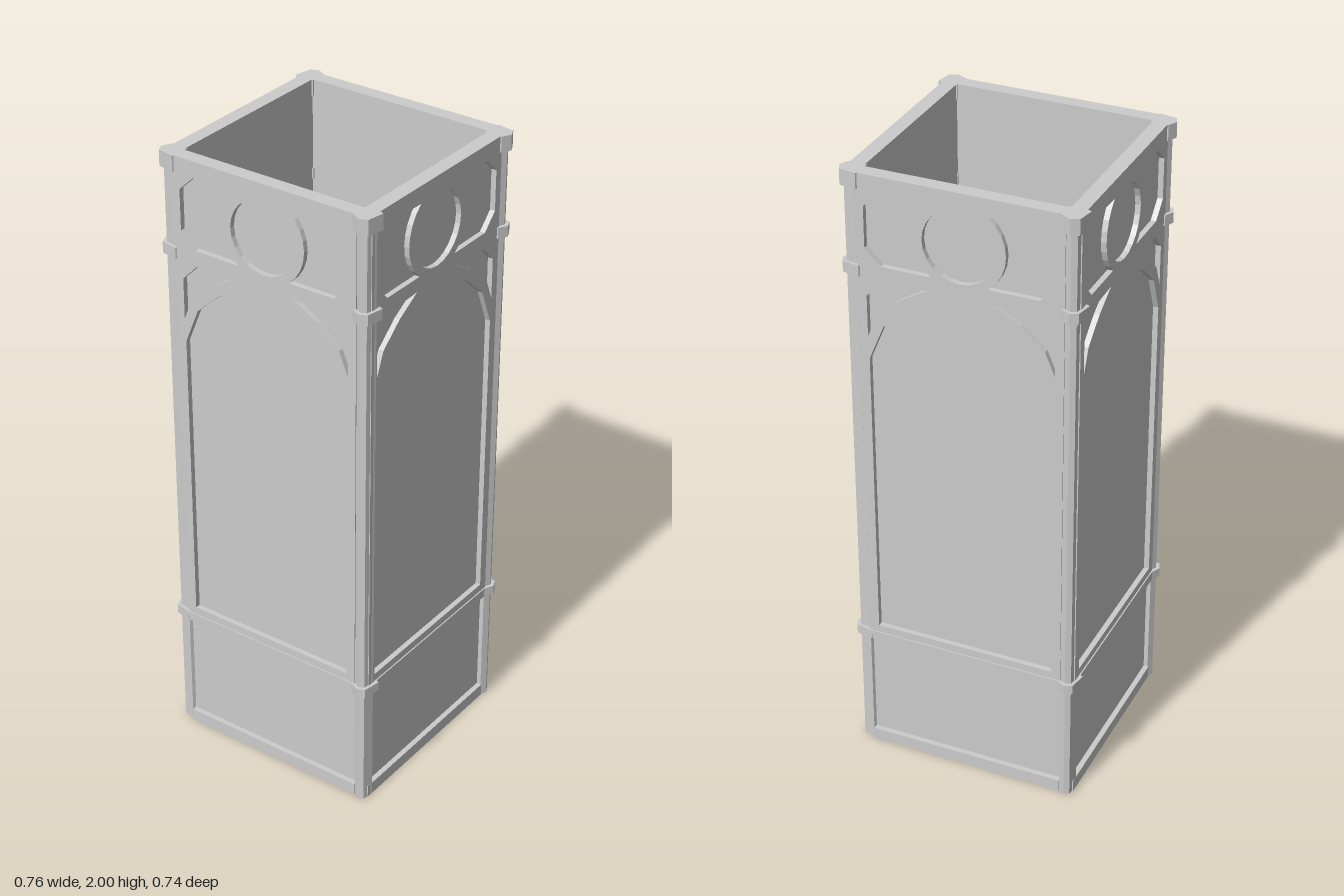
import * as THREE from 'three';

const material = new THREE.MeshStandardMaterial({ color: 0xcccccc, flatShading: true });

function part(name, geometry, x = 0, y = 0, z = 0) {
  const mesh = new THREE.Mesh(geometry, material);
  mesh.name = name;
  mesh.position.set(x, y, z);
  return mesh;
}

const points = (list) => list.map(([x, y]) => new THREE.Vector2(x, y));
const mirrored = (list) => list.map(([x, y]) => [-x, y]).reverse();

// Wall planes and tracery levels, measured for one side facing +z
const INNER = 0.305, RECESS = 0.335, OUTER = 0.352, HALF = 0.32;
const LEDGE_LOW = 0.4, LEDGE_TOP = 0.43;
const CIRCLE_Y = 1.832, CIRCLE_R = 0.115, RING_R = 0.143;

// Raised frame with the arched panel, spandrels and round window cut out
function frameGeometry() {
  const shape = new THREE.Shape(points([[-HALF, LEDGE_TOP], [HALF, LEDGE_TOP], [HALF, 2], [-HALF, 2]]));
  const cut = (list) => shape.holes.push(new THREE.Path(points(list)));

  const archLeft = [[-0.29, 0.455], [-0.29, 1.41], [-0.243, 1.525], [-0.16, 1.6], [-0.085, 1.643]];
  cut([...archLeft, [0, 1.66], ...mirrored(archLeft)]);

  const spandrel = [[-0.293, 1.485], [-0.293, 1.616], [-0.24, 1.67], [-0.1, 1.675], [-0.185, 1.625], [-0.262, 1.56]];
  cut(spandrel);
  cut(mirrored(spandrel));

  // Chamfered panel beside the ring, ending in the ring's outer arc
  const panel = [[-0.245, 1.72], [-0.295, 1.77], [-0.295, 1.9], [-0.245, 1.948]];
  for (let i = 0; i <= 8; i++) {
    const a = THREE.MathUtils.degToRad(-52 + 13 * i);
    panel.push([-RING_R * Math.cos(a), CIRCLE_Y - RING_R * Math.sin(a)]);
  }
  cut(panel);
  cut(mirrored(panel));

  const circle = [];
  for (let i = 0; i < 24; i++) {
    const a = (i / 24) * Math.PI * 2;
    circle.push([CIRCLE_R * Math.cos(a), CIRCLE_Y + CIRCLE_R * Math.sin(a)]);
  }
  cut(circle);
  return new THREE.ExtrudeGeometry(shape, { depth: OUTER - RECESS, bevelEnabled: false });
}

// Skewed corner outline in plan (x, z), scaled about its own centre
const CORNER = [[0.31, 0.3], [0.36, 0.298], [0.375, 0.305], [0.365, 0.36], [0.34, 0.371], [0.31, 0.356]];
function cornerPrism(scale, height) {
  const plan = CORNER.map(([x, z]) => [0.338 + (x - 0.338) * scale, -(0.335 + (z - 0.335) * scale)]);
  const geometry = new THREE.ExtrudeGeometry(new THREE.Shape(points(plan)), { depth: height, bevelEnabled: false });
  return geometry.rotateX(-Math.PI / 2);
}

function createSide() {
  const side = new THREE.Group();
  const wall = new THREE.BoxGeometry(HALF * 2, 2, RECESS - INNER);
  side.add(part('wall', wall, 0, 1, (RECESS + INNER) / 2));
  side.add(part('traceryFrame', frameGeometry(), 0, 0, RECESS));

  // Sill at the foot and ledge above the plinth panel
  const sill = new THREE.BoxGeometry(HALF * 2, 0.04, OUTER - RECESS);
  side.add(part('baseSill', sill, 0, 0.02, (OUTER + RECESS) / 2));
  const ledge = new THREE.BoxGeometry(HALF * 2, LEDGE_TOP - LEDGE_LOW, 0.021);
  side.add(part('ledge', ledge, 0, (LEDGE_TOP + LEDGE_LOW) / 2, RECESS + 0.0105));

  // Corner shaft with its three collars
  side.add(part('cornerShaft', cornerPrism(0.66, 1.99)));
  for (const [low, high] of [[LEDGE_LOW, LEDGE_TOP], [1.675, 1.71], [1.95, 2]]) {
    side.add(part('cornerCollar', cornerPrism(1, high - low), 0, low));
  }
  return side;
}

export function createModel() {
  const model = new THREE.Group();
  model.name = 'tower';
  // Four sides turned in steps, the lateral pair shifted slightly
  const sides = [
    ['frontSide', 0, 0], ['rightHandSide', 0.009, 0.016],
    ['backSide', 0, -0.002], ['leftHandSide', -0.01, -0.018],
  ];
  // The side reached by a quarter turn faces +x, the model's own left
  const names = ['frontSide', 'leftSide', 'backSide', 'rightSide'];
  sides.forEach(([, x, z], i) => {
    const side = createSide();
    side.name = names[i];
    side.rotation.y = (i * Math.PI) / 2;
    side.position.set(x, 0, z);
    model.add(side);
  });
  return model;
}
